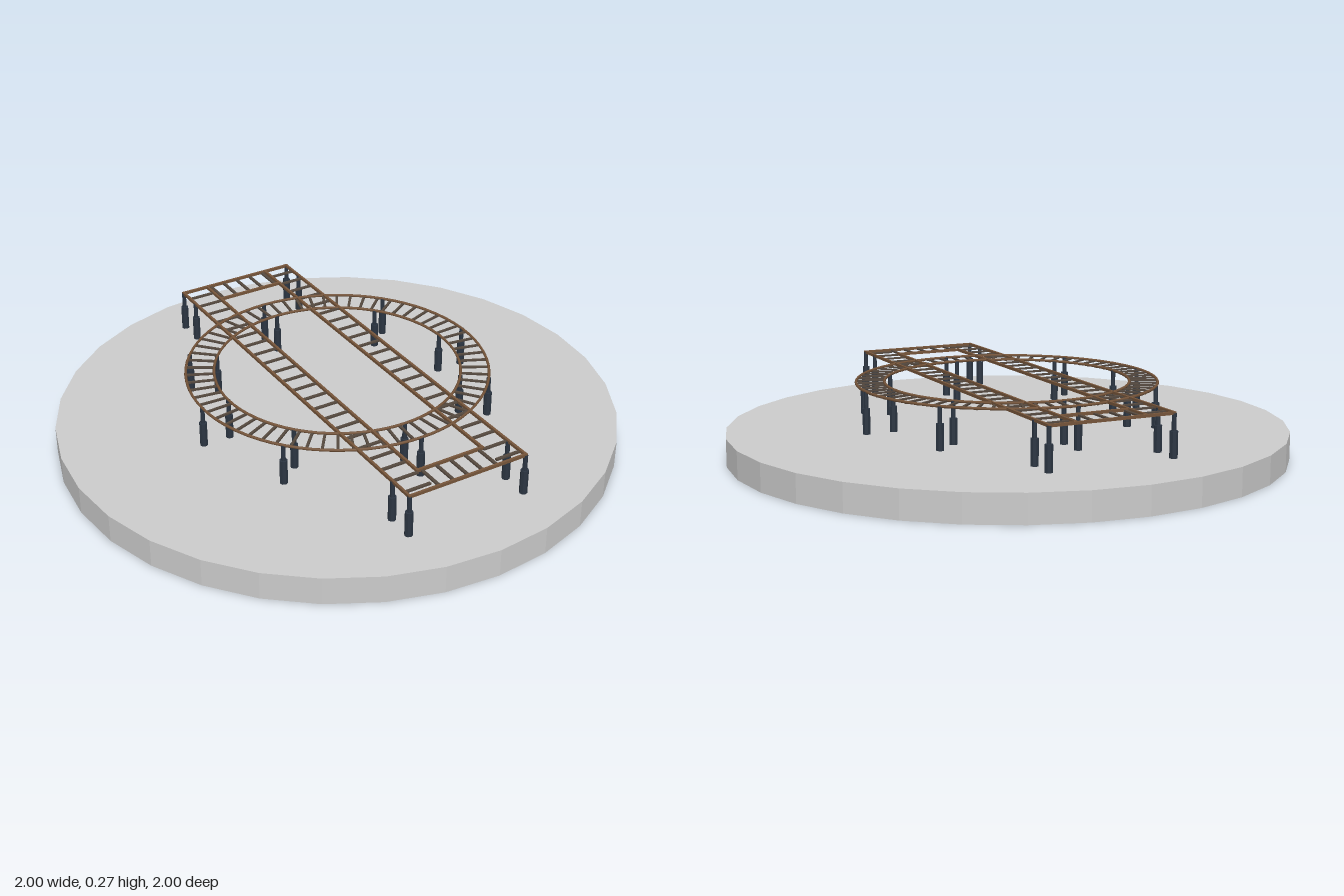
import * as THREE from 'three';

const BASE = new THREE.MeshStandardMaterial({ color: 0xcccccc, flatShading: true });
const RAIL = new THREE.MeshStandardMaterial({ color: 0x76553a });
const TIE = new THREE.MeshStandardMaterial({ color: 0x55493f });
const POST = new THREE.MeshStandardMaterial({ color: 0x2b3542, flatShading: true });

const RAIL_Y = 0.262, TIE_Y = 0.259, CX = 0.003;
const R_IN = 0.436, R_OUT = 0.536;

export function createModel() {
  const model = new THREE.Group();
  model.name = 'trackOnRoundBase';

  const add = (parent, name, geometry, material, x, y, z) => {
    const mesh = new THREE.Mesh(geometry, material);
    mesh.name = name;
    mesh.position.set(x, y, z);
    parent.add(mesh);
    return mesh;
  };
  const group = (name) => {
    const g = new THREE.Group();
    g.name = name;
    model.add(g);
    return g;
  };

  // Round base slab
  add(model, 'base', new THREE.CylinderGeometry(1, 1, 0.1, 32), BASE, 0, 0.05, 0);

  // Circular track: two rails and radial ties
  const ring = group('ringTrack');
  for (const r of [R_IN, R_OUT]) {
    const rail = add(ring, 'ringRail', new THREE.TorusGeometry(r, 0.005, 6, 72), RAIL, CX, RAIL_Y, 0);
    rail.rotation.x = Math.PI / 2;
  }
  const tieGeo = new THREE.BoxGeometry(R_OUT - R_IN, 0.006, 0.009);
  const ties = 64, mid = (R_IN + R_OUT) / 2;
  for (let i = 0; i < ties; i++) {
    const a = ((i + 0.5) / ties) * Math.PI * 2;
    const tie = add(ring, 'ringTie', tieGeo, TIE, CX + mid * Math.cos(a), TIE_Y, mid * Math.sin(a));
    tie.rotation.y = -a;
  }

  // Straight tracks: rails along x or z, with ties between each pair
  const straight = group('straightTracks');
  const railX = (x0, x1, z) =>
    add(straight, 'crossRail', new THREE.BoxGeometry(x1 - x0 + 0.01, 0.01, 0.009), RAIL, (x0 + x1) / 2, RAIL_Y, z);
  const railZ = (x, z0, z1) =>
    add(straight, 'longRail', new THREE.BoxGeometry(0.009, 0.01, z1 - z0 + 0.01), RAIL, x, RAIL_Y, (z0 + z1) / 2);

  const xs = [-0.216, -0.116, 0.138, 0.235];
  const zs = [-0.775, -0.66, 0.69, 0.797];
  railZ(xs[0], zs[0], zs[3]);
  railZ(xs[3], zs[0], zs[3]);
  railZ(xs[1], zs[0], zs[2]);
  railZ(xs[2], zs[0], zs[2]);
  railX(xs[0], xs[3], zs[0]);
  railX(xs[1], xs[2], zs[1]);
  railX(xs[1], xs[2], zs[2]);
  railX(xs[0], xs[3], zs[3]);

  for (const [x0, x1] of [[xs[0], xs[1]], [xs[2], xs[3]]]) {
    const geo = new THREE.BoxGeometry(x1 - x0, 0.006, 0.011);
    for (let z = -0.725; z < 0.77; z += 0.071) add(straight, 'longTie', geo, TIE, (x0 + x1) / 2, TIE_Y, z);
  }
  for (const [z0, z1] of [[zs[0], zs[1]], [zs[2], zs[3]]]) {
    const geo = new THREE.BoxGeometry(0.011, 0.006, z1 - z0);
    for (let i = 0; i < 5; i++) add(straight, 'crossTie', geo, TIE, -0.1 + i * 0.056, TIE_Y, (z0 + z1) / 2);
  }

  // Supports: a wide foot sleeve and a thin upper rod
  const posts = group('supportPosts');
  const footGeo = new THREE.CylinderGeometry(0.014, 0.014, 0.09, 8);
  const rodGeo = new THREE.CylinderGeometry(0.008, 0.008, 0.06, 8);
  const post = (x, z) => {
    const p = new THREE.Group();
    p.name = 'post';
    p.position.set(x, 0, z);
    add(p, 'foot', footGeo, POST, 0, 0.159, 0);
    add(p, 'rod', rodGeo, POST, 0, 0.232, 0);
    posts.add(p);
  };
  for (const r of [R_IN, R_OUT]) {
    for (const deg of [0, 39.5, 90, 140.5, 180, 220, 270, 320]) {
      const a = THREE.MathUtils.degToRad(deg);
      post(CX + r * Math.cos(a), r * Math.sin(a));
    }
  }
  for (const x of [xs[0], xs[3]]) for (const z of [-0.775, -0.677, 0.7, 0.797]) post(x, z);

  return model;
}
